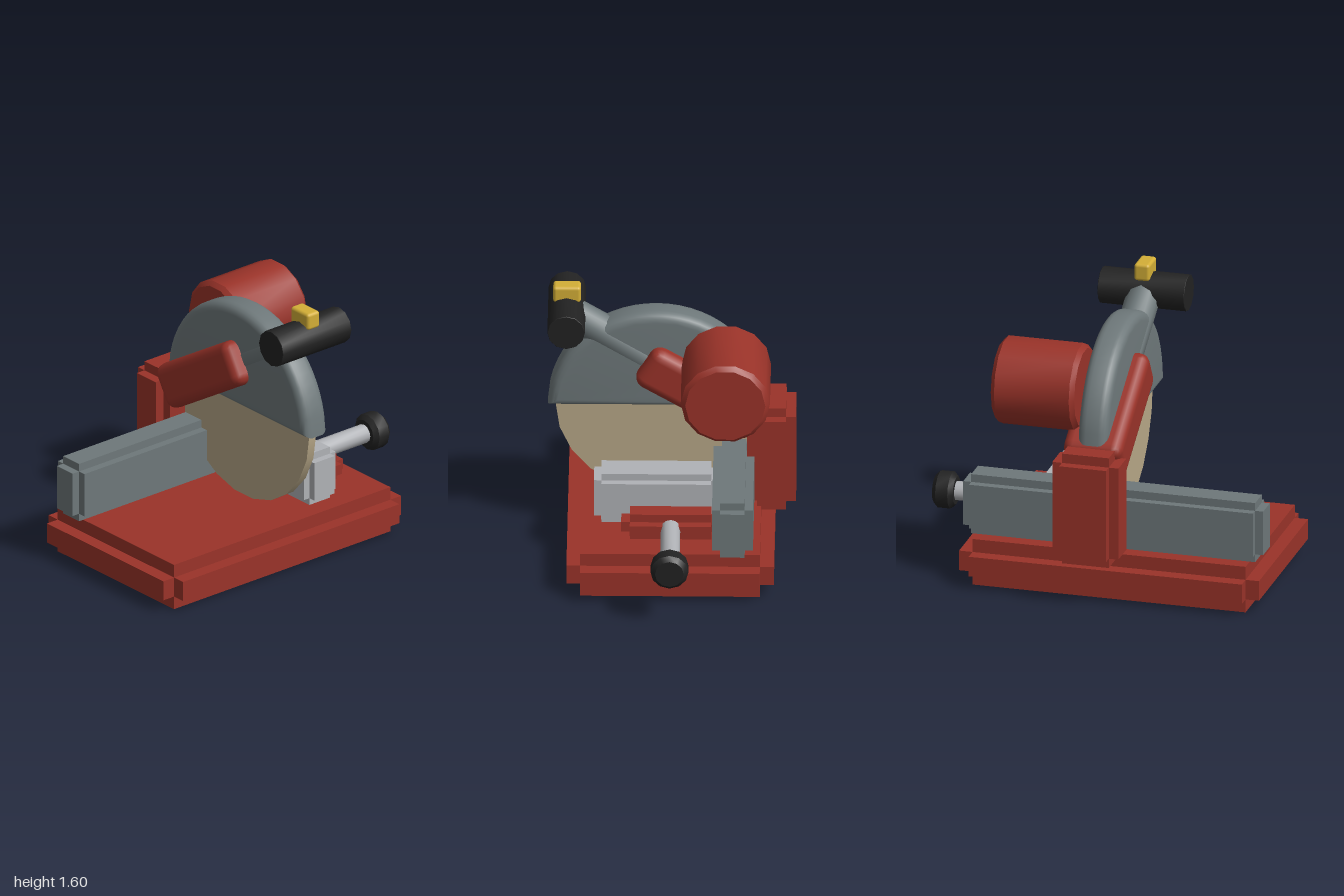
import * as THREE from 'three';
import { mergeGeometries, toCreasedNormals } from 'three/addons/utils/BufferGeometryUtils.js';
import { RoundedBoxGeometry } from 'three/addons/geometries/RoundedBoxGeometry.js';

const mat = (name, color) => new THREE.MeshStandardMaterial({ name, color });

// Box with notched edges: three crossing boxes, each full size along one axis
function notchedBox([x0, x1], [y0, y1], [z0, z1], m) {
  const size = [x1 - x0, y1 - y0, z1 - z0];
  const parts = [0, 1, 2].map((axis) =>
    new THREE.BoxGeometry(...size.map((s, i) => (i === axis ? s : s - 2 * m))));
  return mergeGeometries(parts).translate((x0 + x1) / 2, (y0 + y1) / 2, (z0 + z1) / 2);
}

// Cylinder along x with chamfered rims
function barrel(x0, x1, y, z, r, sides, c) {
  const h = x1 - x0;
  const profile = [[0, 0], [r - c, 0], [r, c], [r, h - c], [r - c, h], [0, h]]
    .map(([a, b]) => new THREE.Vector2(a, b));
  const geo = new THREE.LatheGeometry(profile, sides);
  geo.rotateZ(-Math.PI / 2).translate(x0, y, z);
  return toCreasedNormals(geo, 0.7);
}

export function createModel() {
  const model = new THREE.Group();
  const red = mat('red paint', 0x9a3329);
  const grey = mat('grey metal', 0x6e787a);
  const light = mat('light steel', 0xb0b2b6);
  const tan = mat('abrasive tan', 0xb8a888);
  const black = mat('black rubber', 0x222222);
  const yellow = mat('yellow trigger', 0xd4af37);

  const add = (name, geo, material) => {
    const mesh = new THREE.Mesh(geo, material);
    mesh.name = name;
    model.add(mesh);
    return mesh;
  };

  // Base, fence, hinge post and vise
  add('base', notchedBox([-1, 0.725], [0, 0.27], [-0.57, 0.578], 0.077), red);
  add('fence', notchedBox([-1, 0.725], [0.27, 0.62], [-0.455, -0.228], 0.046), grey);
  add('hingePost', notchedBox([-0.23, 0.15], [0.235, 0.885], [-0.685, -0.415], 0.055), red);
  add('viseJaw', notchedBox([0.115, 0.345], [0.27, 0.58], [-0.26, 0.43], 0.041), light);
  add('viseBlock', notchedBox([0.345, 0.535], [0.272, 0.428], [-0.27, 0.277], 0.048), red);

  // Clamp screw and knob
  add('viseScrew', barrel(0.5, 0.9, 0.35, 0.003, 0.054, 12, 0.001), light);
  add('viseKnob', barrel(0.88, 1, 0.35, 0.003, 0.105, 12, 0.025), black);

  // Cutting disc
  const cx = -0.04, cy = 0.85, cz = 0.087;
  const disc = new THREE.CylinderGeometry(0.56, 0.56, 0.05, 22);
  add('blade', disc.rotateZ(Math.PI / 2).translate(cx, cy, cz), tan);

  // Guard: rounded half disc, extruded across x
  const start = Math.asin(0.05 / 0.55);
  const half = new THREE.Shape();
  half.absarc(0, 0, 0.55, start, Math.PI - start, false);
  half.closePath();
  const guard = new THREE.ExtrudeGeometry(half, {
    depth: 0.07, bevelThickness: 0.05, bevelSize: 0.05, bevelSegments: 4, curveSegments: 14,
  });
  guard.translate(0, 0, -0.035).rotateY(-Math.PI / 2).translate(cx, cy, cz);
  add('bladeGuard', toCreasedNormals(guard, 0.7), grey);

  // Swing arm and motor
  const arm = add('swingArm', new RoundedBoxGeometry(0.34, 0.26, 0.735, 2, 0.06), red);
  arm.position.set(cx, 0.965, -0.16);
  arm.rotation.x = -0.545;
  add('motor', barrel(0.055, 0.535, 1.16, -0.3, 0.247, 14, 0.025), red);

  // Handle stem, grip and trigger
  const top = new THREE.Vector3(cx, 1.425, 0.585);
  const bottom = new THREE.Vector3(cx, 1.145, 0.135);
  const dir = top.clone().sub(bottom);
  const stem = add('handleStem', toCreasedNormals(
    new THREE.CylinderGeometry(0.095, 0.095, dir.length(), 10), 0.7), grey);
  stem.position.copy(top).add(bottom).multiplyScalar(0.5);
  stem.quaternion.setFromUnitVectors(new THREE.Vector3(0, 1, 0), dir.normalize());
  add('handleGrip', barrel(-0.29, 0.207, 1.428, 0.585, 0.104, 12, 0.002), black);
  const trigger = add('trigger', new RoundedBoxGeometry(0.09, 0.1, 0.154, 2, 0.018), yellow);
  trigger.position.set(cx, 1.548, 0.583);

  return model;
}
